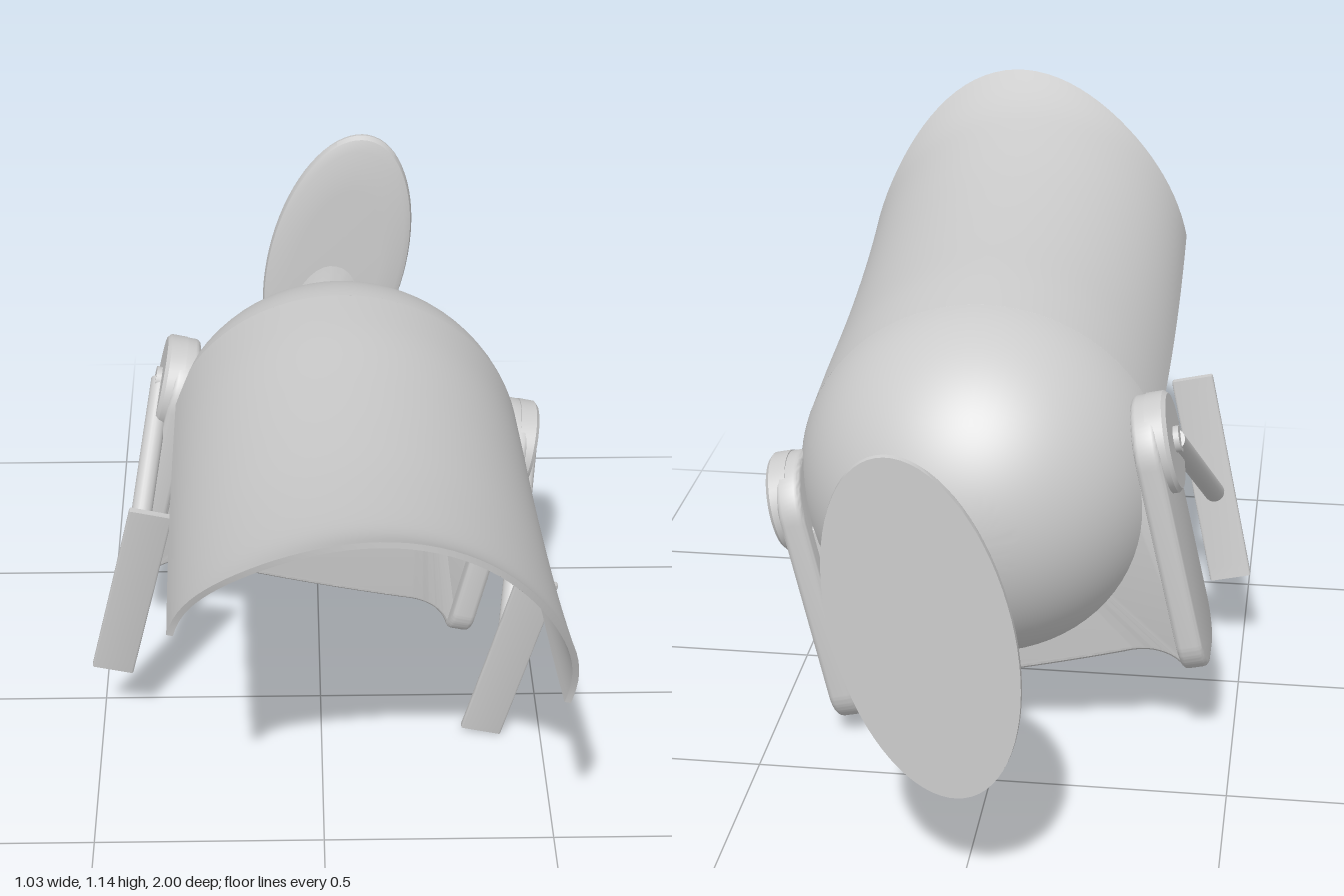
import * as THREE from 'three';
import { toCreasedNormals } from 'three/addons/utils/BufferGeometryUtils.js';

const grey = new THREE.MeshStandardMaterial({ color: 0xcccccc, side: THREE.DoubleSide });
const V2 = (x, y) => new THREE.Vector2(x, y);
const lerp = THREE.MathUtils.lerp;

function add(parent, name, geometry, x = 0, y = 0, z = 0) {
  const mesh = new THREE.Mesh(geometry, grey);
  mesh.name = name;
  mesh.position.set(x, y, z);
  parent.add(mesh);
  return mesh;
}

// Skin closed cross-sections: point(row, t) returns [x, y, z], t runs once round the loop
function loft(rows, cols, point) {
  const pos = [], index = [];
  for (let i = 0; i <= rows; i++) {
    for (let j = 0; j < cols; j++) pos.push(...point(i, j / cols));
  }
  for (let i = 0; i < rows; i++) {
    for (let j = 0; j < cols; j++) {
      const k = (j + 1) % cols;
      const a = i * cols + j, b = i * cols + k, c = a + cols, d = b + cols;
      index.push(a, b, c, b, d, c);
    }
  }
  const g = new THREE.BufferGeometry();
  g.setAttribute('position', new THREE.Float32BufferAttribute(pos, 3));
  g.setIndex(index);
  return toCreasedNormals(g, 0.7);
}

// Extrude a (z, y) outline sideways, centred on x = 0
function sideExtrude(shape, width, bevel) {
  const g = new THREE.ExtrudeGeometry(shape, {
    depth: width - 2 * bevel, bevelEnabled: true, bevelSize: bevel, bevelOffset: -bevel,
    bevelThickness: bevel, bevelSegments: 3, curveSegments: 16,
  });
  g.translate(0, 0, -(width / 2 - bevel));
  g.rotateY(-Math.PI / 2);
  return toCreasedNormals(g, 0.6);
}

const CY = 0.24;                          // height of dome centre in the tilted frame
const DZ = -0.15;                         // depth of dome centre
const CZ = -0.2;                          // depth where dome and canopy meet
const RX = 0.402, RY = 0.395, RZ = 0.405; // dome radii
const CUT = Math.asin((DZ - CZ) / RZ);    // angle at which the dome is cut by the wall

// Arched canopy: a thin shell that rises and flares toward the front lip
function canopyGeometry() {
  const crown = new THREE.SplineCurve([
    V2(CZ, RY * Math.cos(CUT)), V2(-0.1, 0.402), V2(0, 0.41), V2(0.2, 0.42), V2(0.4, 0.435),
    V2(0.6, 0.458), V2(0.8, 0.494), V2(0.9, 0.525), V2(1.0, 0.582)]).getPoints(100);
  const height = (z) => {
    const k = Math.max(1, crown.findIndex((p) => p.x >= z - 1e-4));
    const a = crown[k - 1], b = crown[k];
    return lerp(a.y, b.y, (z - a.x) / (b.x - a.x));
  };
  const rows = 50, half = 48;
  return loft(rows + 1, half * 2, (i, t) => {
    const s = Math.min(i / rows, 1);
    const j = Math.round(t * half * 2);
    const inner = j >= half;
    const f = (inner ? half * 2 - 1 - j : j) / (half - 1);
    const start = lerp(0.14, 0, s);
    const a = lerp(start, Math.PI - start, f);
    const s0 = Math.sin(start);
    const base = lerp(CY, 0.38, s) - 0.06 * s * (1 - s);
    const rise = Math.max(0, (Math.sin(a) - s0) / (1 - s0));
    const z = lerp(CZ, 0.8 + 0.2 * Math.pow(rise, 1.4), s);
    // the inside thickens into a fillet where it meets the back wall
    const thick = 0.013 + 0.05 * Math.pow(Math.max(0, 1 - s / 0.12), 2);
    const inset = i > rows ? 0.006 : inner ? thick : 0;
    const width = lerp(RX * Math.cos(CUT), 0.4, s);
    return [Math.cos(a) * (width - inset), base + Math.sin(a) * (CY + height(z) - base - inset), z];
  });
}

// Rear dome: an ellipsoid cut flat at the back wall
function domeGeometry() {
  const pts = [V2(0, Math.sin(CUT))];
  for (let i = 0; i <= 32; i++) {
    const a = lerp(CUT, Math.PI / 2, i / 32);
    pts.push(V2(Math.cos(a), Math.sin(a)));
  }
  const g = new THREE.LatheGeometry(pts, 72);
  g.rotateX(-Math.PI / 2);
  g.scale(RX, RY, RZ);
  return toCreasedNormals(g, 0.7);
}

// Flat back wall whose lower edge sweeps down into the side flaps
function wallGeometry() {
  const s = new THREE.Shape();
  s.moveTo(-0.385, CY);
  s.lineTo(-0.385, -0.205);
  s.quadraticCurveTo(-0.37, -0.215, -0.35, -0.185);
  s.quadraticCurveTo(-0.31, -0.14, -0.24, -0.147);
  s.quadraticCurveTo(0, -0.157, 0.24, -0.147);
  s.quadraticCurveTo(0.31, -0.14, 0.35, -0.185);
  s.quadraticCurveTo(0.37, -0.215, 0.385, -0.205);
  s.lineTo(0.385, CY);
  s.absellipse(0, CY, 0.33, 0.3, 0, Math.PI, false, 0);
  const g = new THREE.ExtrudeGeometry(s, {
    depth: 0.11, bevelSize: 0.015, bevelThickness: 0.02, bevelOffset: -0.008,
    bevelSegments: 4, curveSegments: 32,
  });
  return toCreasedNormals(g, 0.35);
}

// Flap with a round top and rounded lower corners
function flapGeometry() {
  const w = 0.117, r = 0.085, bottom = -0.22, top = 0.27;
  const s = new THREE.Shape();
  s.moveTo(-w, top);
  s.lineTo(-w, bottom + r);
  s.absarc(-w + r, bottom + r, r, Math.PI, Math.PI * 1.5, false);
  s.absarc(w - r, bottom + r, r, Math.PI * 1.5, Math.PI * 2, false);
  s.lineTo(w, top);
  s.absarc(0, top, w, 0, Math.PI, false);
  return sideExtrude(s, 0.055, 0.012);
}

// Slim, slightly bowed upright plate
function plateGeometry() {
  const s = new THREE.Shape();
  s.moveTo(0.19, 0.237);
  s.quadraticCurveTo(0.165, 0, 0.13, -0.237);
  s.lineTo(0.146, -0.237);
  s.quadraticCurveTo(0.178, 0, 0.206, 0.237);
  return sideExtrude(s, 0.093, 0.004);
}

function rod(parent, name, from, to, radius) {
  const dir = to.clone().sub(from);
  const mesh = add(parent, name, new THREE.CylinderGeometry(radius, radius, dir.length(), 20));
  mesh.position.copy(from).addScaledVector(dir, 0.5);
  mesh.quaternion.setFromUnitVectors(new THREE.Vector3(0, 1, 0), dir.normalize());
}

export function createModel() {
  const model = new THREE.Group();
  model.name = 'hoodedVisor';
  const body = new THREE.Group();
  body.name = 'tiltedBody';
  body.position.y = 0.337;
  body.rotation.z = -0.222;
  model.add(body);

  add(body, 'canopy', canopyGeometry());
  add(body, 'dome', domeGeometry(), 0, CY, DZ);
  add(body, 'backWall', wallGeometry(), 0, 0, -0.325);

  // Flap, hub, arm and plate on each side
  for (const [side, label] of [[1, 'left'], [-1, 'right']]) {
    const group = new THREE.Group();
    group.name = label + 'Side';
    body.add(group);
    add(group, 'flap', flapGeometry(), side * 0.384, 0, -0.268);

    const hub = new THREE.LatheGeometry(
      [V2(0, -0.02), V2(0.108, -0.02), V2(0.108, 0.016), V2(0.1, 0.024), V2(0, 0.024)], 40);
    hub.rotateZ(-side * Math.PI / 2);
    add(group, 'hub', toCreasedNormals(hub, 0.5), side * 0.408, 0.282, -0.268);

    const pivot = new THREE.Vector3(side * 0.43, 0.285, -0.268);
    rod(group, 'arm', pivot, new THREE.Vector3(side * 0.428, -0.03, 0.158), 0.023);
    const cap = new THREE.CylinderGeometry(0.028, 0.028, 0.02, 24);
    cap.rotateZ(Math.PI / 2);
    add(group, 'pivotCap', cap, side * 0.434, 0.285, -0.268);

    add(group, 'plate', plateGeometry(), side * 0.427, 0, 0);
  }

  // Rear post, flaring into the mounting disc: z, y, half width, half height
  const sections = [
    [-0.42, 0.225, 0.029, 0.066], [-0.55, 0.187, 0.029, 0.064], [-0.72, 0.135, 0.027, 0.06],
    [-0.87, 0.086, 0.026, 0.059], [-0.915, 0.082, 0.03, 0.068], [-0.945, 0.09, 0.045, 0.092],
    [-0.96, 0.105, 0.068, 0.13], [-0.972, 0.13, 0.1, 0.19]];
  add(body, 'post', loft(sections.length - 1, 32, (i, t) => {
    const [z, y, w, h] = sections[i];
    const a = t * Math.PI * 2;
    return [-0.005 + Math.cos(a) * w, y + Math.sin(a) * h, z];
  }));

  const disc = new THREE.LatheGeometry([
    V2(0, -0.034), V2(0.6, -0.033), V2(0.9, -0.03), V2(0.98, -0.022), V2(1, -0.01),
    V2(0.995, 0), V2(0, 0)], 72);
  disc.rotateX(-Math.PI / 2);
  disc.scale(0.174, 0.359, 1);
  add(body, 'mountingDisc', toCreasedNormals(disc, 0.6), -0.005, 0.278, -1);

  return model;
}
